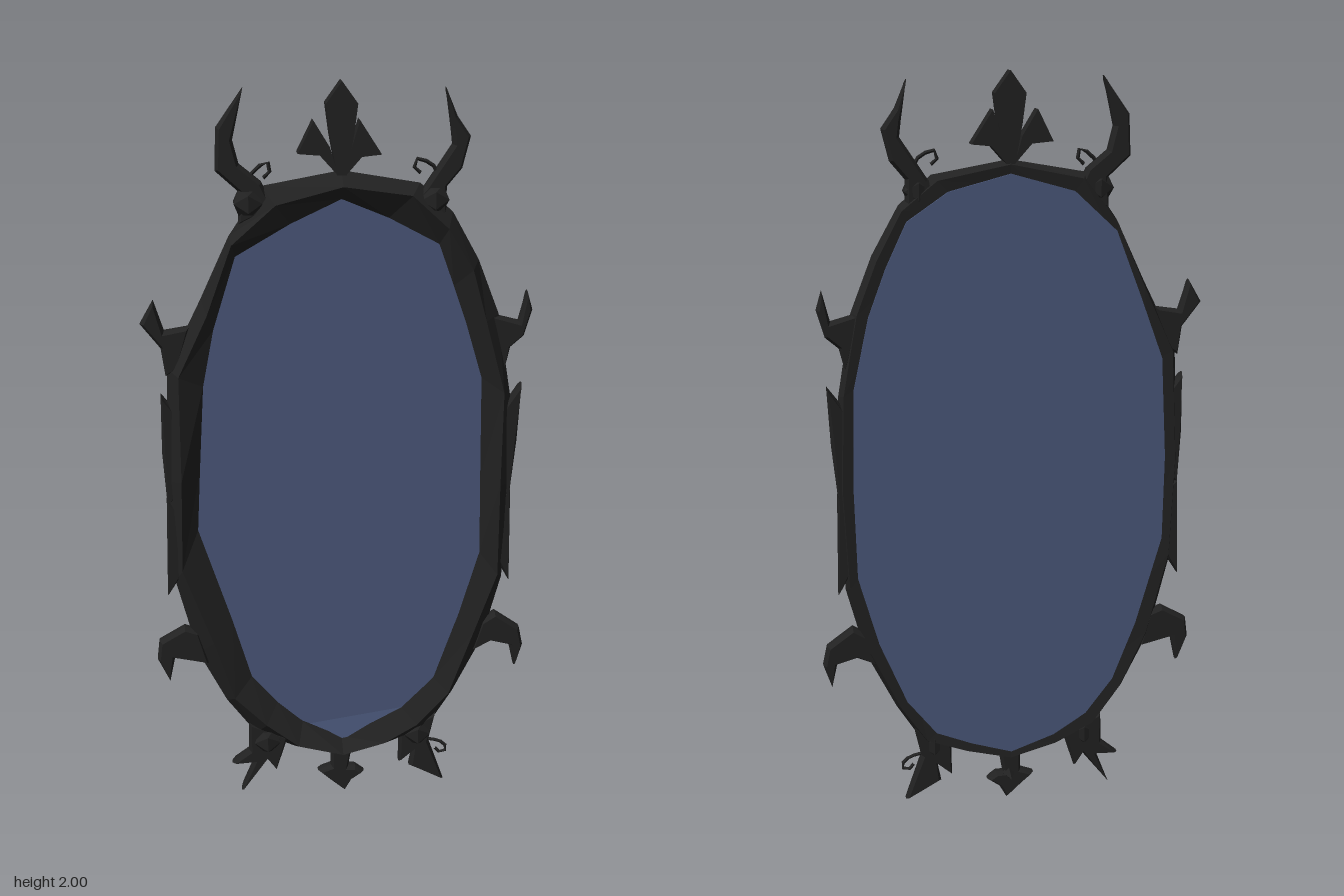
import * as THREE from 'three';

// Frame stations, clockwise from the top: outer x, y, inner x, y, front ridge z
const STATIONS = [
  [0, 1.78, 0, 1.71, 0.064], [0.2, 1.745, 0.12, 1.66, 0.046], [0.285, 1.67, 0.25, 1.59, 0.048],
  [0.355, 1.545, 0.29, 1.48, 0.044], [0.412, 1.4, 0.325, 1.38, 0.046], [0.45, 1.18, 0.37, 1.23, 0.048],
  [0.46, 0.93, 0.375, 0.95, 0.06], [0.445, 0.65, 0.38, 0.73, 0.046], [0.395, 0.46, 0.325, 0.54, 0.044],
  [0.315, 0.3, 0.26, 0.35, 0.045], [0.245, 0.19, 0.17, 0.26, 0.048], [0.13, 0.15, 0.09, 0.22, 0.053],
  [0, 0.12, 0, 0.18, 0.064], [-0.13, 0.15, -0.11, 0.235, 0.053], [-0.24, 0.2, -0.18, 0.3, 0.048],
  [-0.32, 0.31, -0.25, 0.385, 0.045], [-0.395, 0.46, -0.3, 0.56, 0.044], [-0.45, 0.68, -0.385, 0.83, 0.047],
  [-0.465, 0.97, -0.375, 1.0, 0.06], [-0.45, 1.28, -0.36, 1.23, 0.047], [-0.36, 1.46, -0.33, 1.38, 0.045],
  [-0.285, 1.62, -0.27, 1.57, 0.048], [-0.2, 1.745, -0.13, 1.65, 0.046],
];

// Flat silhouettes of the ornaments
const ORNAMENTS = {
  leftTopHorn: [[0.26, 1.98], [0.29, 1.91], [0.325, 1.86], [0.305, 1.78], [0.267, 1.735], [0.267, 1.65], [0.17, 1.69], [0.21, 1.735], [0.24, 1.78], [0.28, 1.84], [0.275, 1.88]],
  rightTopHorn: [[-0.242, 1.985], [-0.31, 1.89], [-0.315, 1.785], [-0.255, 1.73], [-0.26, 1.65], [-0.17, 1.69], [-0.2, 1.755], [-0.255, 1.8], [-0.27, 1.86]],
  crestCentre: [[0, 2], [0.04, 1.945], [0.03, 1.87], [0.012, 1.77], [-0.012, 1.77], [-0.03, 1.87], [-0.04, 1.945]],
  crestLeftPetal: [[0.045, 1.905], [0.1, 1.82], [0.05, 1.815], [0.01, 1.77], [0.025, 1.84]],
  crestRightPetal: [[-0.07, 1.905], [-0.11, 1.825], [-0.055, 1.82], [-0.01, 1.77], [-0.03, 1.84]],
  leftUpperHook: [[0.485, 1.46], [0.5, 1.41], [0.48, 1.34], [0.445, 1.31], [0.43, 1.25], [0.39, 1.4], [0.465, 1.38]],
  rightUpperHook: [[-0.48, 1.46], [-0.515, 1.4], [-0.465, 1.335], [-0.455, 1.26], [-0.42, 1.28], [-0.39, 1.39], [-0.455, 1.38]],
  leftLowerHook: [[0.39, 0.52], [0.43, 0.545], [0.5, 0.495], [0.512, 0.44], [0.49, 0.375], [0.475, 0.44], [0.42, 0.455], [0.365, 0.43]],
  rightLowerHook: [[-0.39, 0.53], [-0.43, 0.545], [-0.5, 0.505], [-0.507, 0.45], [-0.475, 0.38], [-0.46, 0.45], [-0.365, 0.43]],
  leftUpperThorn: [[0.48, 1.21], [0.472, 1.05], [0.455, 0.88], [0.42, 0.95], [0.42, 1.13]],
  rightUpperThorn: [[-0.47, 1.21], [-0.472, 1.05], [-0.463, 0.9], [-0.42, 0.95], [-0.42, 1.15]],
  leftLowerThorn: [[0.46, 0.92], [0.465, 0.64], [0.42, 0.72], [0.42, 0.88]],
  rightLowerThorn: [[-0.465, 0.92], [-0.472, 0.64], [-0.42, 0.72], [-0.42, 0.88]],
  leftFoot: [[0.27, 0.24], [0.25, 0.15], [0.295, 0.02], [0.195, 0.07], [0.205, 0.12], [0.165, 0.085], [0.165, 0.19]],
  rightFoot: [[-0.26, 0.24], [-0.262, 0.15], [-0.31, 0.11], [-0.25, 0.11], [-0.285, 0.02], [-0.21, 0.115], [-0.185, 0.08], [-0.15, 0.19]],
  bottomFinial: [[-0.03, 0.14], [-0.03, 0.085], [-0.067, 0.07], [-0.035, 0.04], [0.01, 0], [0.03, 0.035], [0.065, 0.06], [0.04, 0.08], [0.02, 0.08], [0.03, 0.14]],
};

function fromTriangles(positions) {
  const g = new THREE.BufferGeometry();
  g.setAttribute('position', new THREE.Float32BufferAttribute(positions, 3));
  g.computeVertexNormals();
  return g;
}

// Faceted loop swept from five-sided cross-sections
function frameGeometry() {
  const sections = STATIONS.map(([ox, oy, ix, iy, z], k) => {
    const at = (t, depth) => [ox + (ix - ox) * t, oy + (iy - oy) * t, depth];
    return [at(0, 0.004), at(k % 2 ? 0.3 : 0.45, z), at(1, 0.016), at(0.9, -0.02), at(0.15, -0.027)];
  });
  const pos = [];
  sections.forEach((a, k) => {
    const b = sections[(k + 1) % sections.length];
    for (let i = 0; i < 5; i++) {
      const j = (i + 1) % 5;
      pos.push(...a[i], ...a[j], ...b[j], ...a[i], ...b[j], ...b[i]);
    }
  });
  return fromTriangles(pos);
}

// Flat slab, or one with chamfered edges that keeps its outline at mid depth
function plate(points, back, depth, chamfer = 0) {
  const shape = new THREE.Shape(points.map(([x, y]) => new THREE.Vector2(x, y)));
  const g = new THREE.ExtrudeGeometry(shape, {
    depth: depth - 2 * chamfer, bevelEnabled: chamfer > 0, bevelSegments: 1,
    bevelThickness: chamfer, bevelSize: 0.008, bevelOffset: -0.008,
  });
  return g.translate(0, 0, back + chamfer);
}

export function createModel() {
  const model = new THREE.Group();
  const iron = new THREE.MeshStandardMaterial({ color: 0x212121, flatShading: true });
  iron.name = 'blackIron';
  const glass = new THREE.MeshStandardMaterial({ color: 0x4a577a, flatShading: true });
  glass.name = 'blueGlass';
  const add = (name, geometry, material = iron) => {
    const mesh = new THREE.Mesh(geometry, material);
    mesh.name = name;
    model.add(mesh);
    return mesh;
  };

  add('frame', frameGeometry());

  // Thick glass, set nearly flush with the inner lip and the back of the frame
  const rim = STATIONS.map(([ox, oy, ix, iy]) => [ox + (ix - ox) * 0.48, oy + (iy - oy) * 0.48]);
  add('mirrorGlass', plate(rim, -0.03, 0.04), glass);

  // Tilted facet at the foot of the glass
  add('glassFacet', fromTriangles([-0.13, 0.218, 0.0105, 0, 0.17, 0.022, 0.19, 0.262, 0.0105]), glass);

  // Horns, hooks, thorns and finials
  for (const [name, points] of Object.entries(ORNAMENTS)) {
    add(name, plate(points, -0.022, 0.046, name.startsWith('crest') ? 0 : 0.016));
  }

  // Lumpy knots where the horns and feet meet the frame
  for (const [x, y] of [[0.235, 1.705], [-0.235, 1.705], [0.215, 0.18], [-0.21, 0.18]]) {
    const knot = add('knot', new THREE.IcosahedronGeometry(0.042, 0));
    knot.position.set(x, y, 0.008);
  }

  // Thin curled tendrils
  const curls = [
    [[-0.25, 1.745], [-0.22, 1.78], [-0.185, 1.805], [-0.18, 1.775], [-0.195, 1.765]],
    [[0.25, 1.745], [0.235, 1.785], [0.19, 1.805], [0.185, 1.78], [0.2, 1.77]],
    [[0.25, 0.15], [0.285, 0.14], [0.305, 0.115], [0.285, 0.105], [0.27, 0.12]],
  ];
  for (const pts of curls) {
    const path = new THREE.CatmullRomCurve3(pts.map(([x, y]) => new THREE.Vector3(x, y, 0.005)));
    add('tendril', new THREE.TubeGeometry(path, 6, 0.005, 4));
  }

  // Small spike behind the bottom finial
  const spike = add('backSpike', new THREE.ConeGeometry(0.018, 0.05, 4));
  spike.rotation.x = -Math.PI / 2;
  spike.position.set(0.005, 0.08, -0.04);

  return model;
}
